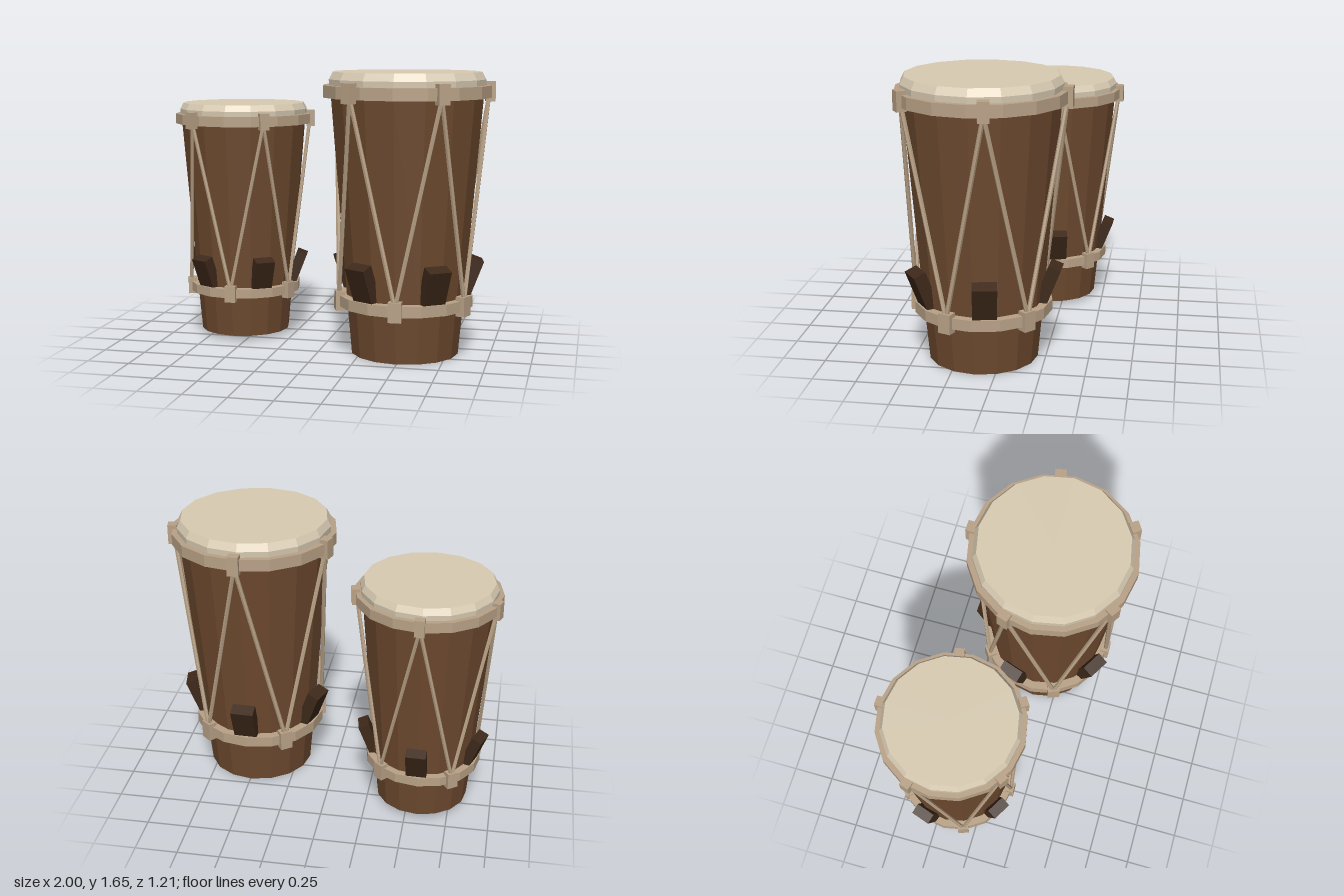
import * as THREE from 'three';

const SIDES = 16;
const rad = THREE.MathUtils.degToRad;

const mat = (name, color) => {
  const m = new THREE.MeshStandardMaterial({ color, flatShading: true });
  m.name = name;
  return m;
};

// Point on a circle: the angle runs from the front (+z) towards +x
const polar = (deg, r, y) =>
  new THREE.Vector3(Math.sin(rad(deg)) * r, y, Math.cos(rad(deg)) * r);

const lathe = (points) =>
  new THREE.LatheGeometry(points.map(([r, y]) => new THREE.Vector2(r, y)), SIDES);

// Closed band of rectangular section
const band = (inner, outer, y0, y1) =>
  lathe([[inner, y0], [outer, y0], [outer, y1], [inner, y1], [inner, y0]]);

function createDrum(name, mats) {
  const drum = new THREE.Group();
  drum.name = name;

  const add = (part, geometry, material, position) => {
    const mesh = new THREE.Mesh(geometry, material);
    mesh.name = part;
    if (position) mesh.position.copy(position);
    drum.add(mesh);
    return mesh;
  };

  // Tapered wooden shell, skin and the two hoops
  add('shell', lathe([[0, 0], [0.318, 0], [0.348, 0.33], [0.445, 1.51], [0.445, 1.57]]), mats.wood);
  add('skin', lathe([[0.456, 1.56], [0.458, 1.612], [0.435, 1.655], [0, 1.655]]), mats.skin);
  add('topHoop', band(0.43, 0.49, 1.508, 1.578), mats.hoop);
  add('lowerHoop', band(0.335, 0.4, 0.29, 0.355), mats.hoop);

  const topAngles = [33, 100.5, 178.5, 251, 327.5];
  const lowAngles = [68, 138, 215, 291, 361];

  // Clamps on both hoops
  const clampGeo = new THREE.BoxGeometry(0.066, 0.115, 0.055);
  const lowClampGeo = new THREE.BoxGeometry(0.076, 0.115, 0.055);
  topAngles.forEach((a) => {
    add('topClamp', clampGeo, mats.hoop, polar(a, 0.482, 1.543)).rotation.y = rad(a);
  });
  lowAngles.forEach((a) => {
    add('lowerClamp', lowClampGeo, mats.hoop, polar(a, 0.39, 0.322)).rotation.y = rad(a);
  });

  // Zigzag ropes between neighbouring clamps
  const up = new THREE.Vector3(0, 1, 0);
  topAngles.forEach((a, i) => {
    const top = polar(a, 0.474, 1.52);
    [lowAngles[i], lowAngles[(i + 4) % 5]].forEach((b) => {
      const dir = top.clone().sub(polar(b, 0.395, 0.34));
      const rope = add('rope', new THREE.CylinderGeometry(0.013, 0.013, dir.length(), 6),
        mats.hoop, top.clone().addScaledVector(dir, -0.5));
      rope.quaternion.setFromUnitVectors(up, dir.normalize());
    });
  });

  // Tuning pegs leaning outwards behind the lower hoop
  const pegGeo = new THREE.BoxGeometry(0.138, 0.29, 0.075);
  [35, 100.5, 178.5, 251, 330].forEach((a) => {
    const peg = add('peg', pegGeo, mats.peg, polar(a, 0.37, 0.43));
    peg.rotation.order = 'YXZ';
    peg.rotation.set(rad(21), rad(a), 0);
  });

  return drum;
}

export function createModel() {
  const mats = {
    wood: mat('wood', 0x6e4a2f),
    skin: mat('skin', 0xd8cbb2),
    hoop: mat('hoop', 0xb9a287),
    peg: mat('darkWood', 0x3e291a),
  };
  const model = new THREE.Group();
  model.name = 'drums';

  const large = createDrum('largeDrum', mats);
  large.position.set(0.495, 0, 0.115);

  const small = createDrum('smallDrum', mats);
  small.scale.setScalar(0.86);
  small.position.set(-0.573, 0.027, -0.168);

  model.add(large, small);
  return model;
}
